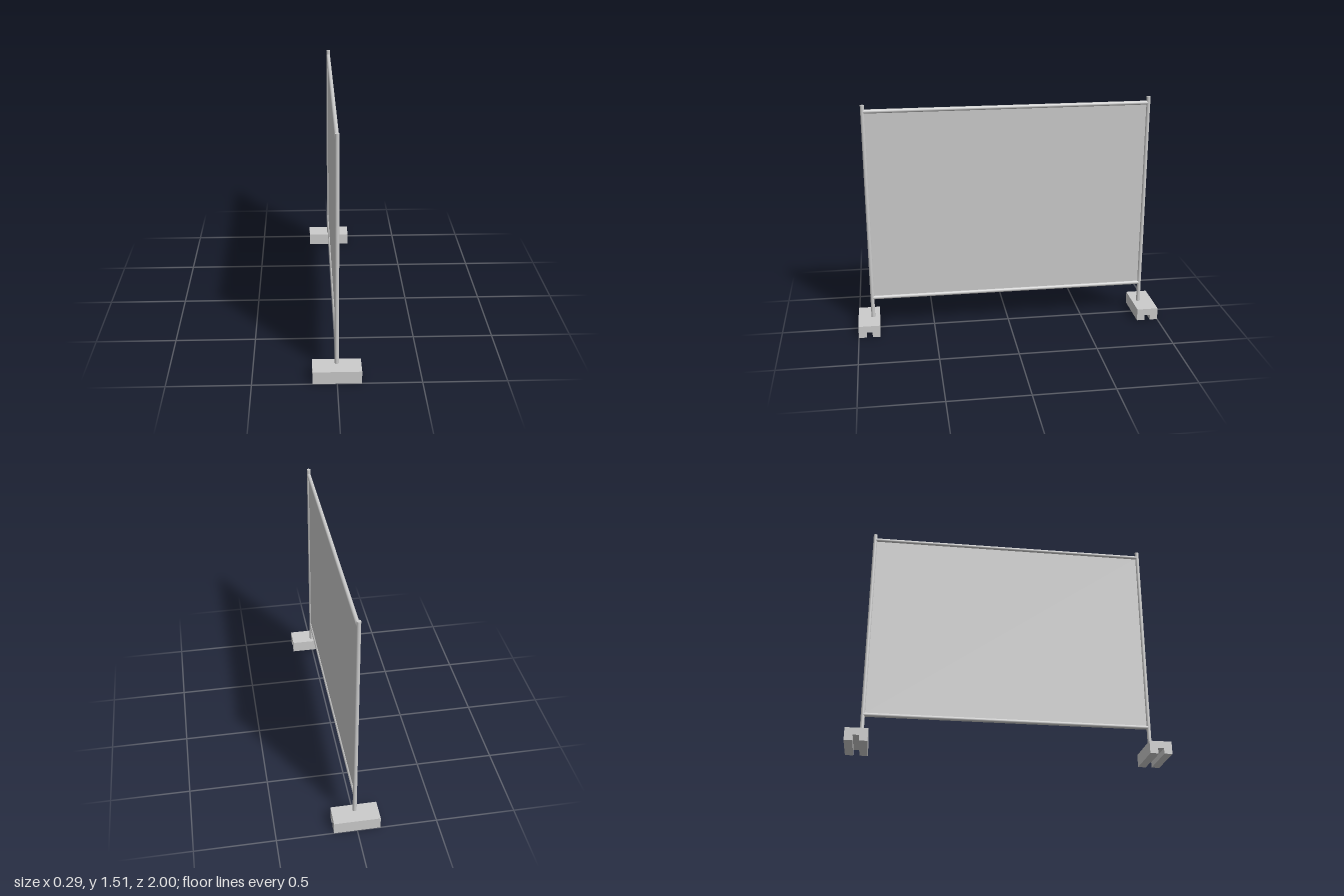
import * as THREE from 'three';

export function createModel() {
  const group = new THREE.Group();
  const material = new THREE.MeshStandardMaterial({ color: 0xcccccc });
  const postZ = 0.903, tubeR = 0.0128, baseZ = 0.93, baseH = 0.08;
  const railHeights = { bottomRail: 0.217, topRail: 1.467 };

  const add = (name, geometry, x, y, z) => {
    const mesh = new THREE.Mesh(geometry, material);
    mesh.name = name;
    mesh.position.set(x, y, z);
    group.add(mesh);
    return mesh;
  };

  // Foot block: rectangle with a slot along its underside, extruded along x
  const hw = 0.07, slot = 0.019, slotH = 0.035, footLength = 0.29;
  const profile = new THREE.Shape([
    [-hw, 0], [-slot, 0], [-slot, slotH], [slot, slotH],
    [slot, 0], [hw, 0], [hw, baseH], [-hw, baseH],
  ].map(([x, y]) => new THREE.Vector2(x, y)));
  const footGeometry = new THREE.ExtrudeGeometry(profile, { depth: footLength, bevelEnabled: false });
  footGeometry.translate(0, 0, -footLength / 2).rotateY(Math.PI / 2);

  // Upright posts standing in the inner part of each foot
  const postTop = 1.507, postBottom = 0.06;
  const postGeometry = new THREE.CylinderGeometry(tubeR, tubeR, postTop - postBottom, 20);

  for (const [end, s] of [['front', 1], ['back', -1]]) {
    add(end + 'Foot', footGeometry, 0, 0, s * baseZ);
    add(end + 'Post', postGeometry, 0, (postTop + postBottom) / 2, s * postZ);
  }

  // Horizontal rails between the posts
  const railGeometry = new THREE.CylinderGeometry(tubeR, tubeR, postZ * 2, 20).rotateX(Math.PI / 2);
  for (const [name, y] of Object.entries(railHeights)) add(name, railGeometry, 0, y, 0);

  // Thin screen filling the frame
  const { bottomRail, topRail } = railHeights;
  add('screenPanel', new THREE.BoxGeometry(0.004, topRail - bottomRail, postZ * 2),
    0, (topRail + bottomRail) / 2, 0);

  return group;
}
